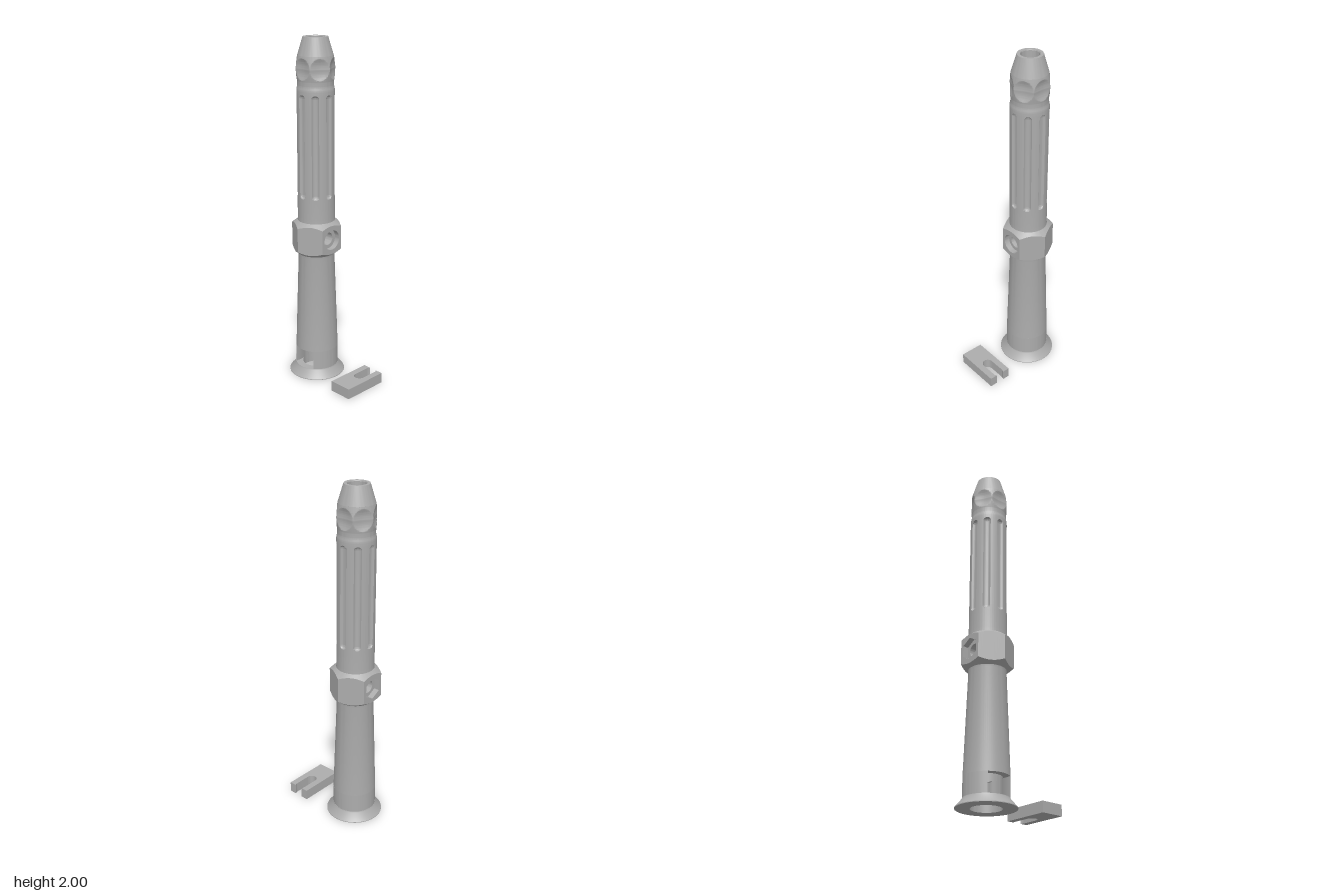
import * as THREE from 'three';
import { toCreasedNormals } from 'three/addons/utils/BufferGeometryUtils.js';

const V = (x, y) => new THREE.Vector2(x, y);
const SIDE = 0.128;                       // hex collar: centre to flat
const BORE = 0.051, WIDE = 0.085;         // upper and lower bore radii
const HOLE = 0.037, HOLE_Y = 0.86;        // cross hole through the collar
const SLOT_LOW = 0.052, SLOT_HIGH = 0.165;

// Grid of points given as [radius, angle from +z, y]
function skin(cols, rows, fn) {
  const pos = [], idx = [];
  for (let j = 0; j <= rows; j++) {
    for (let i = 0; i <= cols; i++) {
      const [r, t, y] = fn(i, j);
      pos.push(r * Math.sin(t), y, r * Math.cos(t));
      if (i < cols && j < rows) {
        const a = j * (cols + 1) + i, d = a + cols + 1;
        idx.push(a, a + 1, d + 1, a, d + 1, d);
      }
    }
  }
  const g = new THREE.BufferGeometry();
  g.setAttribute('position', new THREE.Float32BufferAttribute(pos, 3));
  g.setIndex(idx);
  return g;
}

// Linear interpolation in a list of [y, radius]
function profileAt(list, y) {
  for (let k = 1; k < list.length; k++) {
    const [y0, r0] = list[k - 1], [y1, r1] = list[k];
    if (y <= y1) return r0 + (r1 - r0) * (y - y0) / (y1 - y0);
  }
  return list[list.length - 1][1];
}

// Angle to the nearest of n evenly spaced directions
function angleTo(t, n, offset = 0) {
  const s = 2 * Math.PI / n;
  return t - offset - Math.round((t - offset) / s) * s;
}

export function createModel() {
  const model = new THREE.Group();
  const metal = new THREE.MeshStandardMaterial({ color: 0xacacac, side: THREE.DoubleSide });
  metal.name = 'grey metal';
  const add = (name, geometry, parent) => {
    const m = new THREE.Mesh(toCreasedNormals(geometry, 0.45), metal);
    m.name = name;
    parent.add(m);
    return m;
  };
  const lathe = (...pts) => new THREE.LatheGeometry(pts.map(p => V(...p)), 72);

  const tube = new THREE.Group();
  tube.name = 'tube';
  tube.position.x = -0.121;
  model.add(tube);

  // Flared foot; its top is the floor of the slot
  add('foot', lathe([WIDE, 0], [0.164, 0], [0.164, 0.004], [0.128, 0.046], [0.126, SLOT_LOW],
    [WIDE, SLOT_LOW], [WIDE, 0]), tube);

  // Slotted ring: cross-section with a pocket open to the front
  const w = 0.075, back = 0.07, ro = 0.125;
  const edge = Math.acos(w / ro), side = Math.acos(w / WIDE), rear = Math.asin(back / WIDE);
  const ring = new THREE.Shape();
  const front = Math.sqrt(ro * ro - w * w);
  // shape y points to -z
  ring.moveTo(w, -front);
  ring.absarc(0, 0, ro, -edge, Math.PI + edge, false);
  ring.lineTo(-w, -WIDE * Math.sin(side));
  ring.absarc(0, 0, WIDE, Math.PI + side, Math.PI - side, true);
  ring.lineTo(-w, back);
  ring.lineTo(-WIDE * Math.cos(rear), back);
  ring.absarc(0, 0, WIDE, Math.PI - rear, rear, true);
  ring.lineTo(w, back);
  ring.lineTo(w, WIDE * Math.sin(side));
  ring.absarc(0, 0, WIDE, side, -side, true);
  ring.closePath();
  const ringGeo = new THREE.ExtrudeGeometry(ring,
    { depth: SLOT_HIGH - SLOT_LOW, bevelEnabled: false, curveSegments: 40 });
  ringGeo.rotateX(-Math.PI / 2).translate(0, SLOT_LOW, 0);
  add('slottedRing', ringGeo, tube);

  // Tapered lower body with its wide bore
  add('lowerBody', lathe([WIDE, SLOT_HIGH], [ro, SLOT_HIGH], [0.105, 0.745], [0.107, 0.76],
    [BORE, 0.76], [WIDE, 0.7], [WIDE, SLOT_HIGH]), tube);

  // Hexagonal collar with conical chamfers
  const hexR = t => SIDE / Math.cos(angleTo(t, 6, Math.PI / 6));
  const low = r => 0.775 + (r - SIDE) * 0.75, high = r => 0.945 - (r - SIDE) * 0.75;
  const collar = new THREE.Group();
  collar.name = 'hexCollar';
  tube.add(collar);
  const turn = i => i * Math.PI / 48;
  add('lowerChamfer', skin(96, 1, (i, j) => {
    const t = turn(i), r = j ? hexR(t) : 0.107;
    return [r, t, low(r)];
  }), collar);
  add('upperChamfer', skin(96, 1, (i, j) => {
    const t = turn(i), r = j ? 0.107 : hexR(t);
    return [r, t, high(r)];
  }), collar);
  for (const start of [-1, 1].map(s => s * Math.PI / 2 - Math.PI / 3 - Math.PI / 2 + Math.PI / 2)) {
    // two neighbouring flats, front pair and back pair
    add('collarFlats', skin(32, 1, (i, j) => {
      const t = start + Math.PI / 2 + i * Math.PI / 48, r = hexR(t);
      return [r, t, j ? high(r) : low(r)];
    }), collar);
  }

  // Side flats with a round recess on one side and a hexagonal one on the other
  for (const [s, sides, radius] of [[1, 40, 0.058], [-1, 6, 0.064]]) {
    const port = new THREE.Group();
    port.name = s > 0 ? 'roundPort' : 'hexPort';
    port.rotation.y = s * Math.PI / 2;
    collar.add(port);
    const circle = (n, r) => Array.from({ length: n }, (_, k) =>
      V(r * Math.sin(k * 2 * Math.PI / n), HOLE_Y + r * Math.cos(k * 2 * Math.PI / n)));
    const outline = [];
    for (let k = -8; k <= 8; k++) {
      const t = k * Math.PI / 48;
      outline.push(V(SIDE * Math.tan(t), low(SIDE / Math.cos(t))));
    }
    for (let k = 8; k >= -8; k--) {
      const t = k * Math.PI / 48;
      outline.push(V(SIDE * Math.tan(t), high(SIDE / Math.cos(t))));
    }
    const flat = new THREE.Shape(outline);
    flat.holes.push(new THREE.Path(circle(sides, radius)));
    add('flat', new THREE.ShapeGeometry(flat).translate(0, 0, SIDE), port);
    const floorZ = 0.095;
    const floor = new THREE.Shape(circle(sides, radius));
    floor.holes.push(new THREE.Path(circle(40, HOLE)));
    add('recessFloor', new THREE.ShapeGeometry(floor).translate(0, 0, floorZ), port);
    const sleeve = (r, n, z0, z1) => new THREE.CylinderGeometry(r, r, z1 - z0, n, 1, true)
      .rotateX(Math.PI / 2).translate(0, HOLE_Y, (z0 + z1) / 2);
    const wall = sleeve(radius, sides, floorZ, SIDE);
    if (sides === 6) {
      wall.translate(0, -HOLE_Y, 0).rotateZ(0).translate(0, HOLE_Y, 0);
    }
    add('recessWall', wall, port);
    // cross hole, trimmed to the bore
    const cross = sleeve(HOLE, 40, 0, floorZ), p = cross.attributes.position;
    for (let k = 0; k < p.count; k++) {
      if (p.getZ(k) < 0.01) p.setZ(k, Math.sqrt(BORE * BORE - p.getX(k) ** 2));
    }
    add('crossHole', cross, port);
  }

  // Upper bore: plain above and below the cross hole, split in two beside it
  add('lowerBore', lathe([BORE, 0.76], [BORE, HOLE_Y - HOLE]), tube);
  add('upperBore', lathe([BORE, HOLE_Y + HOLE], [BORE, 1.995]), tube);
  for (const offset of [0, Math.PI]) {
    add('boreBesideHole', skin(24, 24, (i, j) => {
      const a = Math.PI * j / 24, dy = -HOLE * Math.cos(a);
      const gap = Math.asin(HOLE * Math.sin(a) / BORE);
      const half = Math.PI / 2 - gap;
      return [BORE, offset - half + 2 * half * i / 24, HOLE_Y + dy];
    }), tube);
  }

  // Barrel with eight flutes, then a neck with six scallops meeting at points
  const base = [[0.96, 0.108], [0.985, 0.107], [1.7, 0.107], [1.715, 0.1065], [1.735, 0.102],
    [1.76, 0.102], [1.83, 0.113], [1.9, 0.1]];
  const fluteHalf = Math.PI / 16, fw = 0.107 * fluteHalf, f0 = 1.1 + fw, f1 = 1.69 - fw;
  const ys = [0.96, 0.97, 0.985, 1.09];
  const span = (a, b, n) => { for (let k = 0; k <= n; k++) ys.push(a + (b - a) * k / n); };
  span(1.1, f0, 10);
  span(f1, 1.69, 10);
  span(1.7, 1.9, 50);
  add('flutedBarrel', skin(192, ys.length - 1, (i, j) => {
    const t = i * Math.PI / 96, y = ys[j];
    let r = profileAt(base, y);
    const along = Math.max(f0 - y, y - f1, 0);
    const d = Math.hypot(0.107 * angleTo(t, 8), along) / fw;
    if (d < 0.999) r -= 0.015 * Math.sqrt(1 - d * d);
    const e = Math.hypot(0.113 * angleTo(t, 6), y - 1.83) / 0.0592;
    if (e < 1) r -= 0.019 * (1 - e * e);
    return [r, t, y];
  }), tube);

  // Conical tip
  add('tip', lathe([0.1, 1.9], [0.07, 2], [0.053, 2], [BORE, 1.995]), tube);

  // Loose forked clip beside the tube
  const cx = 0.215, hw = 0.069, sw = 0.031, mouth = 0.023;
  const fork = new THREE.Shape();
  fork.moveTo(cx - hw, -0.138);
  fork.lineTo(cx + hw, -0.138);
  fork.lineTo(cx + hw, 0.139);
  fork.lineTo(cx + mouth, 0.139);
  fork.quadraticCurveTo(cx + sw, 0.132, cx + sw, 0.118);
  fork.lineTo(cx + sw, 0.022);
  fork.absarc(cx, 0.022, sw, 0, Math.PI, true);
  fork.lineTo(cx - sw, 0.118);
  fork.quadraticCurveTo(cx - sw, 0.132, cx - mouth, 0.139);
  fork.lineTo(cx - hw, 0.139);
  fork.closePath();
  add('forkedClip', new THREE.ExtrudeGeometry(fork,
    { depth: 0.062, bevelEnabled: false, curveSegments: 20 }).rotateX(-Math.PI / 2), model);

  return model;
}
